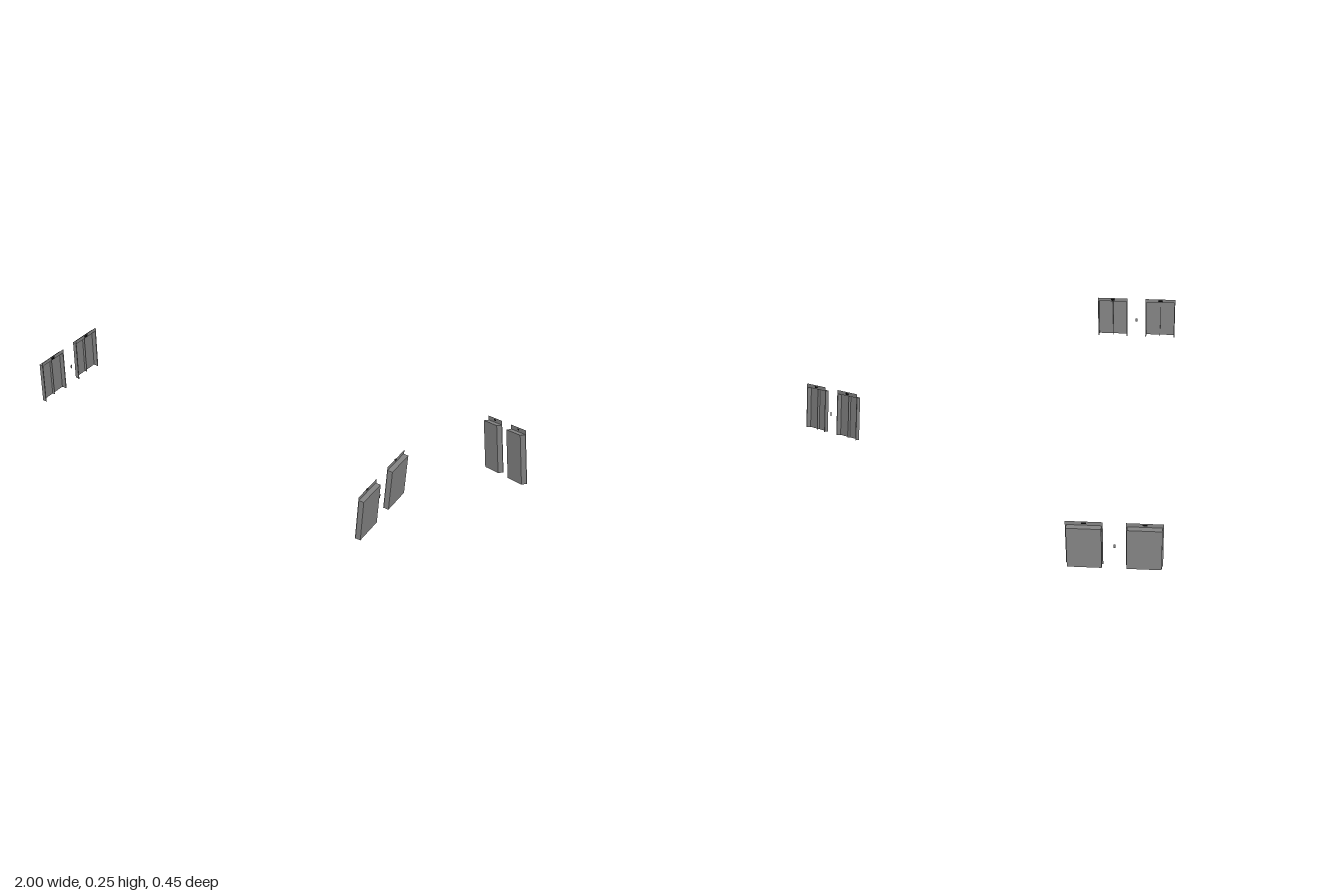
import * as THREE from 'three';

const W = 0.16, H = 0.233, DEPTH = 0.026;    // casing width, height, depth
const LIP_W = 0.171, LIP_H = 0.254;          // mounting lip
const SLOT_W = 0.022, SLOT_H = 0.008, SLOT_Y = 0.244;

const metal = new THREE.MeshStandardMaterial({ color: 0x838383, side: THREE.DoubleSide });
const black = new THREE.MeshStandardMaterial({ color: 0x080808 });

function add(parent, name, geometry, x = 0, y = 0, z = 0, material = metal) {
  const mesh = new THREE.Mesh(geometry, material);
  mesh.name = name;
  mesh.position.set(x, y, z);
  parent.add(mesh);
}

// Sheet metal cover: local z points outward, open towards the inside and below
function createCover() {
  const cover = new THREE.Group();
  cover.name = 'cover';

  add(cover, 'outerPanel', new THREE.PlaneGeometry(W, H), 0, H / 2, DEPTH);
  add(cover, 'topPanel', new THREE.PlaneGeometry(W, DEPTH).rotateX(-Math.PI / 2), 0, H, DEPTH / 2);
  for (const s of [-1, 1]) {
    add(cover, 'sidePanel', new THREE.PlaneGeometry(DEPTH, H).rotateY(s * Math.PI / 2), s * W / 2, H / 2, DEPTH / 2);
  }

  // Thin stiffener down the middle of the inside
  add(cover, 'rib', new THREE.BoxGeometry(0.002, H, 0.014), 0, H / 2, DEPTH - 0.007);

  // Flat lip around the sides with a taller tab on top
  const a = W / 2, b = LIP_W / 2;
  const lip = new THREE.Shape([
    [-b, 0], [-a, 0], [-a, H], [a, H], [a, 0], [b, 0], [b, LIP_H], [-b, LIP_H],
  ].map(p => new THREE.Vector2(...p)));
  const u = SLOT_W / 2, v = SLOT_H / 2;
  lip.holes.push(new THREE.Path([
    [-u, SLOT_Y - v], [-u, SLOT_Y + v], [u, SLOT_Y + v], [u, SLOT_Y - v],
  ].map(p => new THREE.Vector2(...p))));
  add(cover, 'mountingLip', new THREE.ShapeGeometry(lip));

  // Black rounded latch filling the slot and bulging inward
  const bulge = new THREE.Shape().absellipse(0, 0, u, 0.006, 0, Math.PI, false);
  const latch = new THREE.ExtrudeGeometry(bulge, { depth: SLOT_H, bevelEnabled: false, curveSegments: 10 });
  latch.translate(0, 0, -v).rotateX(-Math.PI / 2);
  add(cover, 'latch', latch, 0, SLOT_Y, 0, black);
  return cover;
}

// Two covers with a small plate between them
function createSide() {
  const side = new THREE.Group();
  side.name = 'coverPair';
  for (const s of [-1, 1]) {
    const cover = createCover();
    cover.position.x = s * 0.1375;
    side.add(cover);
  }
  add(side, 'smallPlate', new THREE.PlaneGeometry(0.01, 0.022), 0, 0.112, 0);
  return side;
}

export function createModel() {
  const model = new THREE.Group();
  model.name = 'wallCovers';
  for (const s of [-1, 1]) {
    const side = createSide();
    side.rotation.y = s * Math.PI / 2;
    side.position.x = s * (1 - DEPTH);
    model.add(side);
  }
  return model;
}
